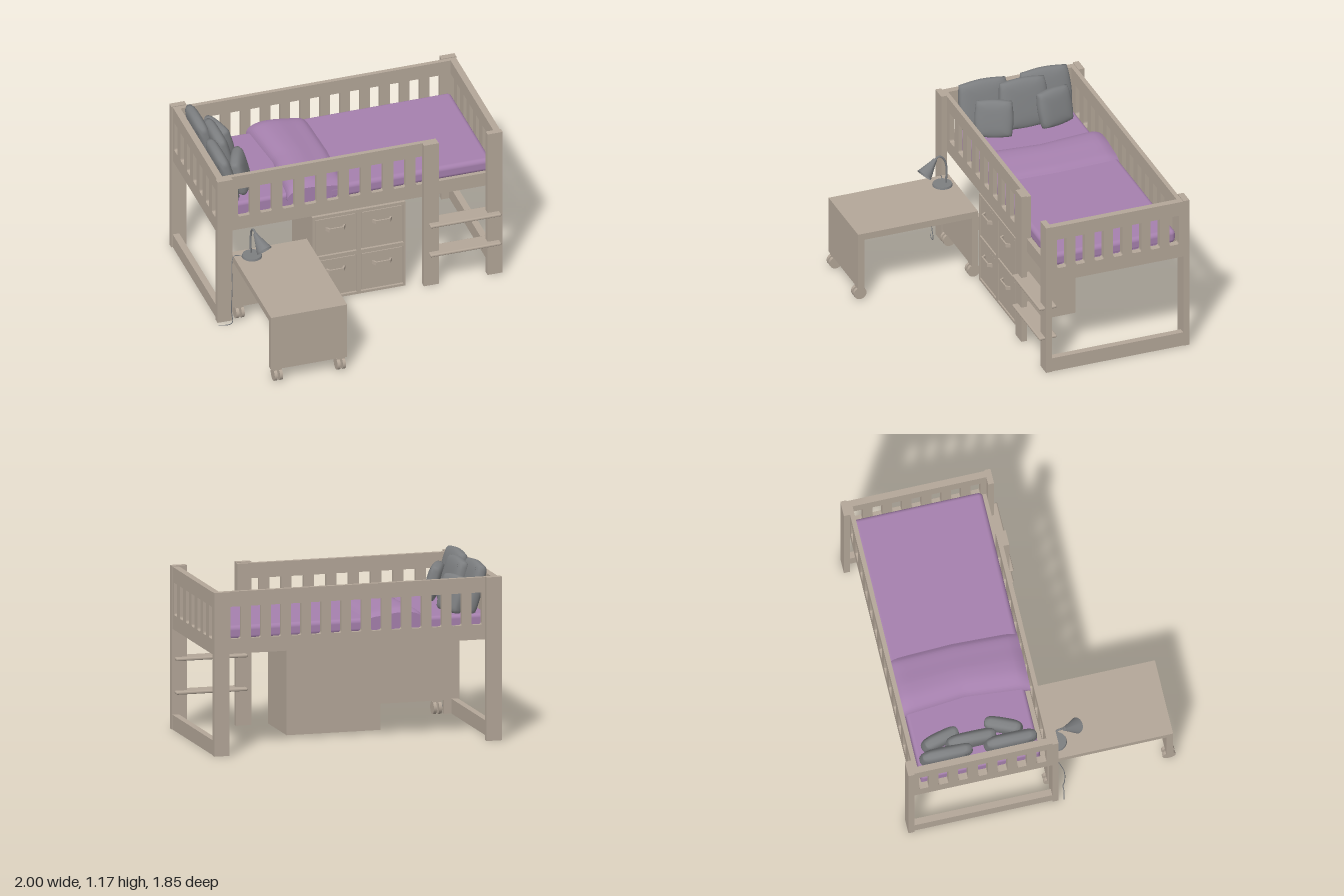
import * as THREE from 'three';
import { toCreasedNormals } from 'three/addons/utils/BufferGeometryUtils.js';
import { RoundedBoxGeometry } from 'three/addons/geometries/RoundedBoxGeometry.js';

const wood = new THREE.MeshStandardMaterial({ color: 0xb3a698 });
const purple = new THREE.MeshStandardMaterial({ color: 0xa580ad });
const grey = new THREE.MeshStandardMaterial({ color: 0x7c7e80 });

function add(parent, name, geometry, material) {
  const mesh = new THREE.Mesh(geometry, material);
  mesh.name = name;
  parent.add(mesh);
  return mesh;
}

// Box given by its limits on each axis, with optional rounded edges
function box(parent, name, [x0, x1], [y0, y1], [z0, z1], material = wood, r = 0) {
  const s = [x1 - x0, y1 - y0, z1 - z0];
  const geo = r ? new RoundedBoxGeometry(...s, 4, r) : new THREE.BoxGeometry(...s);
  const mesh = add(parent, name, geo, material);
  mesh.position.set((x0 + x1) / 2, (y0 + y1) / 2, (z0 + z1) / 2);
  return mesh;
}

function slotPath(cx, w, y0, y1, r) {
  const a = cx - w / 2, b = cx + w / 2, p = new THREE.Path();
  p.moveTo(a + r, y0).lineTo(b - r, y0);
  p.quadraticCurveTo(b, y0, b, y0 + r).lineTo(b, y1).lineTo(a, y1).lineTo(a, y0 + r);
  p.quadraticCurveTo(a, y0, a + r, y0);
  return p;
}

// Guard panel: one board with a row of upright slots
function guardPanel(parent, name, u0, u1, count, first, pitch, width, depth) {
  const shape = new THREE.Shape();
  shape.moveTo(u0, 0.68).lineTo(u1, 0.68).lineTo(u1, 1.1).lineTo(u0, 1.1).closePath();
  for (let i = 0; i < count; i++) shape.holes.push(slotPath(first + i * pitch, width, 0.78, 0.998, 0.015));
  return add(parent, name, new THREE.ExtrudeGeometry(shape, { depth, bevelEnabled: false, curveSegments: 4 }), wood);
}

function bedFrame(root) {
  const bed = new THREE.Group();
  bed.name = 'bedFrame';
  root.add(bed);
  // Corner posts and ladder post
  for (const [x0, x1] of [[-0.995, -0.89], [0.89, 0.995]]) {
    box(bed, 'frontPost', [x0, x1], [0, 1.105], [0.06, 0.1]);
    box(bed, 'backPost', [x0, x1], [0, 1.105], [-0.922, -0.88]);
  }
  box(bed, 'ladderPost', [0.445, 0.55], [0, 1.105], [0.06, 0.1]);
  // Guard panels on the long sides
  guardPanel(bed, 'backGuard', -0.945, 0.945, 13, -0.834, 0.139, 0.072, 0.03).position.z = -0.88;
  guardPanel(bed, 'frontGuard', -0.945, 0.55, 9, -0.798, 0.155, 0.084, 0.03).position.z = 0.03;
  box(bed, 'entryRail', [0.55, 0.945], [0.68, 0.78], [0.03, 0.06]);
  // End panels and floor rails
  for (const x of [-0.985, 0.945]) {
    const end = guardPanel(bed, 'endGuard', -0.06, 0.88, 7, 0.013, 0.1335, 0.068, 0.045);
    end.rotation.y = Math.PI / 2;
    end.position.x = x;
    box(bed, 'floorRail', [x, x + 0.045], [0, 0.1], [-0.88, 0.06]);
  }
  // Inner ledges and cross slats
  box(bed, 'ledge', [-0.94, 0.945], [0.68, 0.72], [0, 0.03]);
  box(bed, 'ledge', [-0.94, 0.945], [0.68, 0.72], [-0.85, -0.82]);
  for (let i = 0; i < 20; i++) {
    const x = -0.88 + i * 0.093;
    box(bed, 'slat', [x - 0.03, x + 0.03], [0.695, 0.715], [-0.82, 0]);
  }
  // Ladder rungs
  for (const y of [0.25, 0.477]) box(bed, 'rung', [0.48, 0.975], [y - 0.01, y + 0.011], [0.015, 0.14], wood, 0.009);
}

// Squared cushion, thick in the middle and thin at its seam
function pillowGeometry(size, thick) {
  const geo = new THREE.SphereGeometry(1, 32, 24);
  const p = geo.attributes.position;
  const pow = (v, e) => Math.sign(v) * Math.pow(Math.abs(v), e);
  for (let i = 0; i < p.count; i++) {
    const x = p.getX(i), y = p.getY(i), z = p.getZ(i);
    const m = Math.hypot(y, z) / (Math.max(Math.abs(y), Math.abs(z)) || 1);
    const k = 1 + (m - 1) * 0.72;
    p.setXYZ(i, pow(x, 0.7) * thick / 2, pow(Math.hypot(y, z), 0.6) * k * y / (Math.hypot(y, z) || 1) * size / 2,
      pow(Math.hypot(y, z), 0.6) * k * z / (Math.hypot(y, z) || 1) * size / 2);
  }
  geo.computeVertexNormals();
  return geo;
}

function bedding(root) {
  const set = new THREE.Group();
  set.name = 'bedding';
  root.add(set);
  box(set, 'mattress', [-0.935, 0.94], [0.715, 0.842], [-0.82, -0.008], purple, 0.025);
  box(set, 'duvet', [-0.2, 0.942], [0.765, 0.86], [-0.848, 0.029], purple, 0.03);

  // Turned-back end of the duvet: a puffed profile swept across the bed
  const s = new THREE.Shape();
  s.moveTo(-0.08, 0.775).lineTo(-0.46, 0.775);
  s.splineThru([[-0.48, 0.8], [-0.482, 0.84], [-0.455, 0.885], [-0.39, 0.915], [-0.3, 0.917], [-0.2, 0.9], [-0.12, 0.885], [-0.08, 0.86]]
    .map(([x, y]) => new THREE.Vector2(x, y)));
  let geo = new THREE.ExtrudeGeometry(s, { depth: 1, steps: 24, bevelEnabled: false, curveSegments: 24 });
  const p = geo.attributes.position;
  for (let i = 0; i < p.count; i++) {
    const t = p.getZ(i) * 2 - 1, y = p.getY(i);
    const bow = 1 - Math.abs(t);
    const drop = 0.03 * Math.pow(Math.abs(t), 16) * Math.max(0, (y - 0.8) / 0.12);
    p.setXYZ(i, p.getX(i) + bow * (p.getX(i) < -0.3 ? 0.04 : 0.015), y - drop, -0.41 + t * 0.438);
  }
  geo = toCreasedNormals(geo, 0.7);
  add(set, 'duvetFold', geo, purple);

  // Cushions leaning on the head end: x, y, z, size, turn
  const cushions = [
    [-0.862, 0.995, -0.635, 0.36, 0], [-0.862, 0.995, -0.197, 0.36, 0], [-0.795, 0.995, -0.452, 0.345, 0],
    [-0.735, 0.955, -0.648, 0.26, 0.25], [-0.735, 0.955, -0.215, 0.26, -0.4],
  ];
  for (const [x, y, z, size, turn] of cushions) {
    const c = add(set, 'cushion', pillowGeometry(size, 0.1), grey);
    c.position.set(x, y, z);
    c.rotation.set(0, turn, 0.27);
  }
}

function drawerUnit(root) {
  const unit = new THREE.Group();
  unit.name = 'drawerUnit';
  root.add(unit);
  box(unit, 'carcass', [-0.32, 0.33], [0.005, 0.665], [-0.372, 0.04]);
  // Face frame with four openings
  const face = new THREE.Shape();
  face.moveTo(-0.32, 0.005).lineTo(0.33, 0.005).lineTo(0.33, 0.665).lineTo(-0.32, 0.665).closePath();
  for (const x of [-0.158, 0.168]) for (const y of [0.17, 0.495]) {
    face.holes.push(slotPath(x, 0.296, y - 0.148, y + 0.148, 0.001));
    box(unit, 'drawerFront', [x - 0.139, x + 0.139], [y - 0.14, y + 0.14], [0.03, 0.053]);
    // Bracket handle
    const h = new THREE.Shape();
    h.moveTo(-0.07, 0).lineTo(-0.05, 0.03).lineTo(0.05, 0.03).lineTo(0.07, 0);
    h.lineTo(0.055, 0).lineTo(0.043, 0.02).lineTo(-0.043, 0.02).lineTo(-0.055, 0).closePath();
    const handle = add(unit, 'handle', new THREE.ExtrudeGeometry(h, { depth: 0.025, bevelEnabled: false }), wood);
    handle.rotation.x = Math.PI / 2;
    handle.position.set(x, y + 0.073, 0.053);
  }
  add(unit, 'faceFrame', new THREE.ExtrudeGeometry(face, { depth: 0.018, bevelEnabled: false }), wood).position.z = 0.04;
}

function desk(root) {
  const d = new THREE.Group();
  d.name = 'desk';
  root.add(d);
  const w = [-0.887, -0.356];
  box(d, 'deskTop', w, [0.457, 0.505], [0.05, 0.905]);
  for (const z of [0.072, 0.883]) {
    box(d, 'deskSide', w, [0.095, 0.457], [z - 0.022, z + 0.022]);
    // Twin-wheel casters
    for (const x of [-0.839, -0.4]) {
      box(d, 'casterFork', [x - 0.012, x + 0.012], [0.03, 0.097], [z - 0.014, z + 0.014]);
      box(d, 'casterHood', [x - 0.028, x + 0.028], [0.075, 0.098], [z - 0.02, z + 0.02]);
      for (const side of [-1, 1]) {
        const wheel = add(d, 'casterWheel', new THREE.CylinderGeometry(0.044, 0.044, 0.021, 24), wood);
        wheel.rotation.z = Math.PI / 2;
        wheel.position.set(x + side * 0.0185, 0.045, z);
      }
    }
  }
}

function lamp(root) {
  const g = new THREE.Group();
  g.name = 'lamp';
  root.add(g);
  const curve = (pts) => new THREE.CatmullRomCurve3(pts.map((q) => new THREE.Vector3(...q)));
  add(g, 'lampBase', new THREE.CylinderGeometry(0.064, 0.068, 0.014, 32), grey).position.set(-0.768, 0.512, 0.14);
  const arm = curve([[-0.768, 0.515, 0.115], [-0.768, 0.64, 0.112], [-0.768, 0.7, 0.13], [-0.766, 0.728, 0.165], [-0.76, 0.708, 0.2]]);
  add(g, 'lampArm', new THREE.TubeGeometry(arm, 32, 0.007, 10), grey);
  // Shade: open cone from the arm tip down to its rim
  const tip = new THREE.Vector3(-0.765, 0.713, 0.19), rim = new THREE.Vector3(-0.73, 0.628, 0.285);
  const dir = rim.clone().sub(tip), len = dir.length();
  const profile = [[0.001, 0], [0.014, 0.002], [0.017, 0.02], [0.054, len]].map(([r, y]) => new THREE.Vector2(r, y));
  const shadeMat = grey.clone();
  shadeMat.side = THREE.DoubleSide;
  const shade = add(g, 'lampShade', toCreasedNormals(new THREE.LatheGeometry(profile, 32).toNonIndexed(), 0.6), shadeMat);
  shade.position.copy(tip);
  shade.quaternion.setFromUnitVectors(new THREE.Vector3(0, 1, 0), dir.normalize());
  const bulb = add(g, 'bulb', new THREE.SphereGeometry(0.022, 16, 12), grey);
  bulb.position.lerpVectors(tip, rim, 0.7);
  // Power cord over the desk edge to the floor
  const cord = curve([[-0.83, 0.509, 0.125], [-0.88, 0.508, 0.105], [-0.9, 0.48, 0.12], [-0.912, 0.3, 0.158], [-0.918, 0.12, 0.158],
    [-0.91, 0.015, 0.15], [-0.94, 0.004, 0.15], [-1, 0.004, 0.135]]);
  add(g, 'cord', new THREE.TubeGeometry(cord, 60, 0.003, 6), grey);
}

export function createModel() {
  const root = new THREE.Group();
  root.name = 'loftBed';
  bedFrame(root);
  bedding(root);
  drawerUnit(root);
  desk(root);
  lamp(root);
  return root;
}
